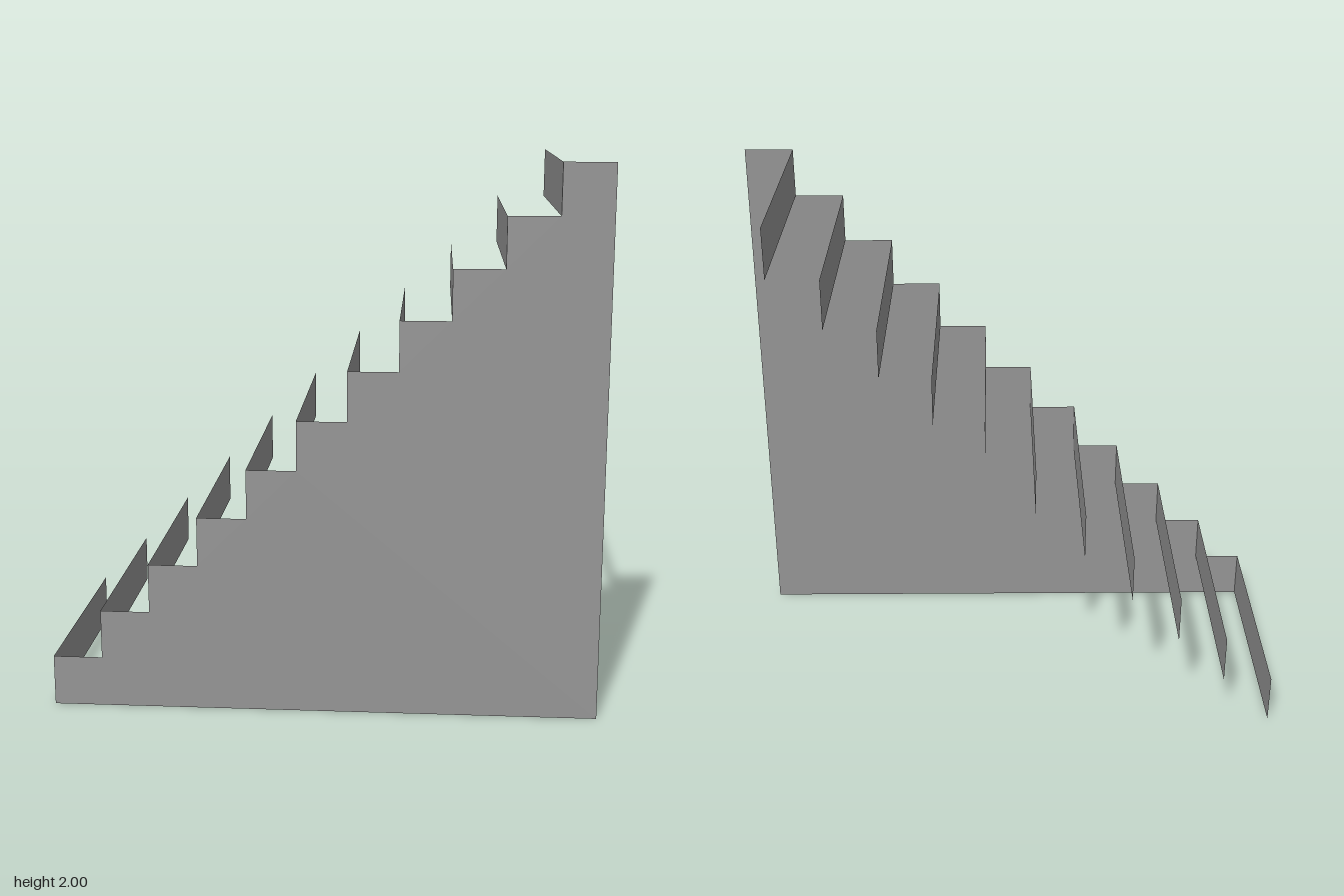
import * as THREE from 'three';

export function createModel() {
  const group = new THREE.Group();
  group.name = 'staircase';
  const material = new THREE.MeshStandardMaterial({
    color: 0x969696, flatShading: true, side: THREE.DoubleSide,
  });

  const steps = 11, halfWidth = 0.445;
  const stepX = (i) => -0.998 + 0.1809 * i;
  const stepY = (i) => (i === 0 ? 0 : 0.187 + 0.1813 * (i - 1));

  // Stepped side wall, a single thin sheet
  const outline = new THREE.Shape();
  outline.moveTo(stepX(0), 0);
  for (let i = 0; i < steps; i++) {
    outline.lineTo(stepX(i), stepY(i + 1));
    outline.lineTo(stepX(i + 1), stepY(i + 1));
  }
  outline.lineTo(0.998, 0);
  const wall = new THREE.Mesh(new THREE.ShapeGeometry(outline), material);
  wall.name = 'sideWall';
  wall.position.z = halfWidth;
  group.add(wall);

  // Upright risers; the treads between them are open
  for (let i = 0; i < steps; i++) {
    const height = stepY(i + 1) - stepY(i);
    const riser = new THREE.Mesh(new THREE.PlaneGeometry(halfWidth * 2, height), material);
    riser.name = `riser${i + 1}`;
    riser.rotation.y = -Math.PI / 2;
    riser.position.set(stepX(i), stepY(i) + height / 2, 0);
    group.add(riser);
  }
  return group;
}
